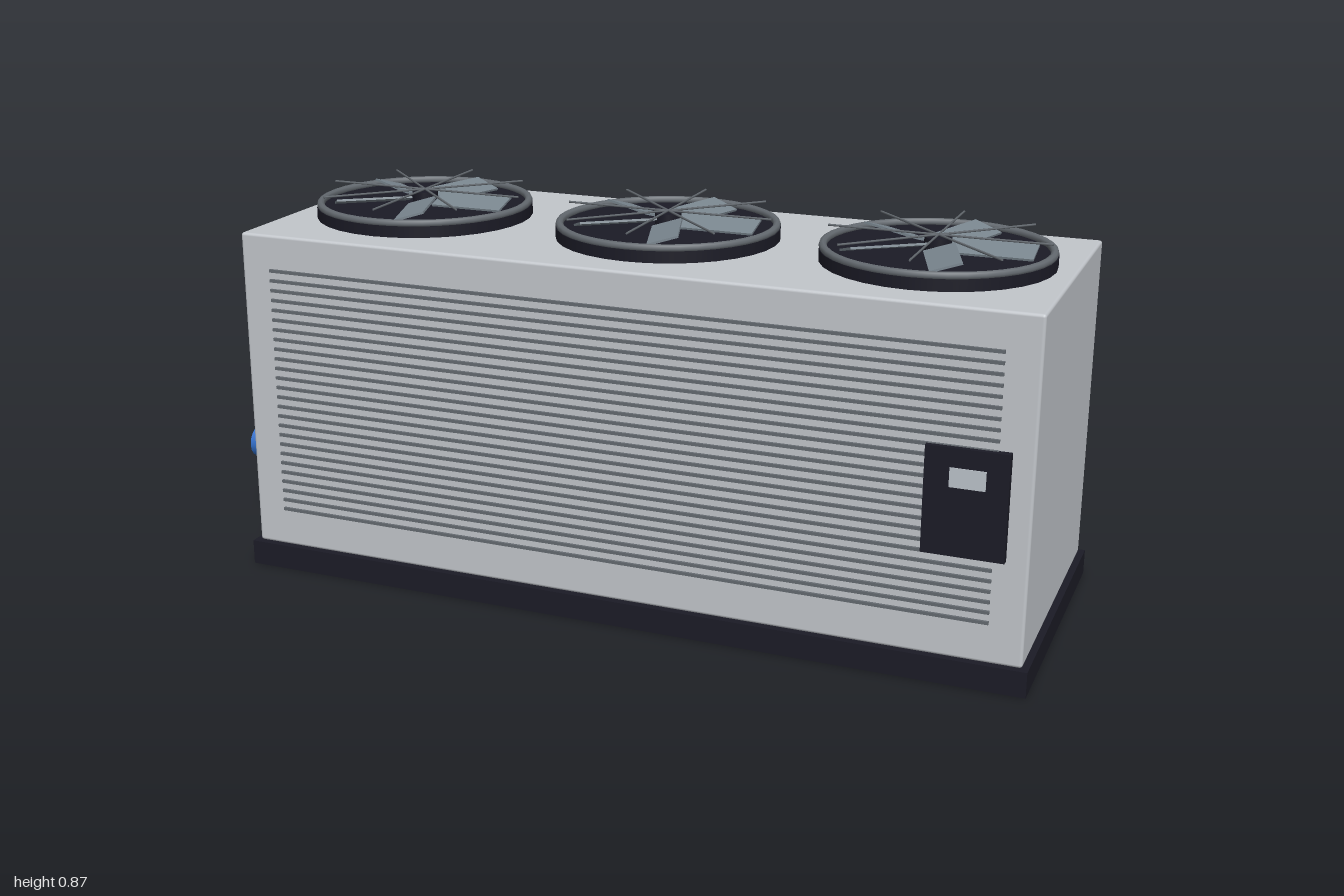
import * as THREE from 'three';
import { RoundedBoxGeometry } from 'three/addons/geometries/RoundedBoxGeometry.js';

const paint = (name, color) => {
  const m = new THREE.MeshStandardMaterial({ color });
  m.name = name;
  return m;
};

export function createModel() {
  const casing = paint('casing grey', 0xc2c6cb);
  const dark = paint('dark navy', 0x1b1b26);
  const trim = paint('slate trim', 0x646a70);
  const bladeGrey = paint('blade grey', 0x7a868f);
  const screenGrey = paint('screen grey', 0xbcc3ca);
  const blue = paint('cold blue', 0x3270cc);
  const red = paint('hot red', 0xc23434);

  const model = new THREE.Group();
  model.name = 'condenserUnit';
  const add = (parent, name, geometry, material, x = 0, y = 0, z = 0) => {
    const mesh = new THREE.Mesh(geometry, material);
    mesh.name = name;
    mesh.position.set(x, y, z);
    parent.add(mesh);
    return mesh;
  };
  const box = (w, h, d) => new THREE.BoxGeometry(w, h, d);
  const CX = 0.072, CZ = -0.003;

  // Plinth and casing
  add(model, 'base', box(1.855, 0.058, 0.695), dark, CX, 0.029, CZ);
  add(model, 'casing', new RoundedBoxGeometry(1.828, 0.754, 0.67, 2, 0.007), casing, CX, 0.435, CZ);

  // Louvre slats on front and back
  const slat = box(1.68, 0.007, 0.012);
  for (const side of [1, -1]) {
    const louvres = new THREE.Group();
    louvres.name = side > 0 ? 'frontLouvres' : 'backLouvres';
    for (let i = 0; i < 26; i++) {
      add(louvres, 'slat', slat, trim, CX, 0.15 + i * 0.0232, CZ + side * 0.335);
    }
    model.add(louvres);
  }

  // Control panel
  add(model, 'controlPanel', box(0.174, 0.233, 0.02), dark, 0.852, 0.407, 0.339);
  add(model, 'panelScreen', box(0.075, 0.042, 0.004), screenGrey, 0.855, 0.461, 0.349);

  // Water pipes at the right-hand end
  const pipe = new THREE.CylinderGeometry(0.039, 0.039, 0.18, 16).rotateZ(Math.PI / 2);
  add(model, 'bluePipe', pipe, blue, -0.91, 0.207, 0.081);
  add(model, 'redPipe', pipe, red, -0.91, 0.207, -0.095);

  // Fans
  const drum = new THREE.CylinderGeometry(0.254, 0.254, 0.027, 32);
  const rim = new THREE.TorusGeometry(0.245, 0.009, 8, 40).rotateX(Math.PI / 2);
  const hub = new THREE.CylinderGeometry(0.03, 0.03, 0.03, 16);
  const blade = box(0.175, 0.005, 0.07).rotateX(0.28).translate(0.1225, 0, 0);
  const wire = new THREE.CylinderGeometry(0.0025, 0.0025, 0.488, 6).rotateZ(Math.PI / 2);
  for (const offset of [-0.618, 0, 0.618]) {
    const fan = new THREE.Group();
    fan.name = 'fan';
    fan.position.set(CX + offset, 0.812, CZ);
    add(fan, 'drum', drum, dark, 0, 0.0125);
    add(fan, 'rim', rim, trim, 0, 0.031);
    add(fan, 'hub', hub, dark, 0, 0.04);
    for (let i = 0; i < 5; i++) {
      add(fan, 'blade', blade, bladeGrey, 0, 0.039).rotation.y = i * Math.PI * 0.4;
    }
    for (let i = 0; i < 4; i++) {
      add(fan, 'guardWire', wire, trim, 0, 0.059).rotation.y = i * Math.PI / 4;
    }
    model.add(fan);
  }
  return model;
}
